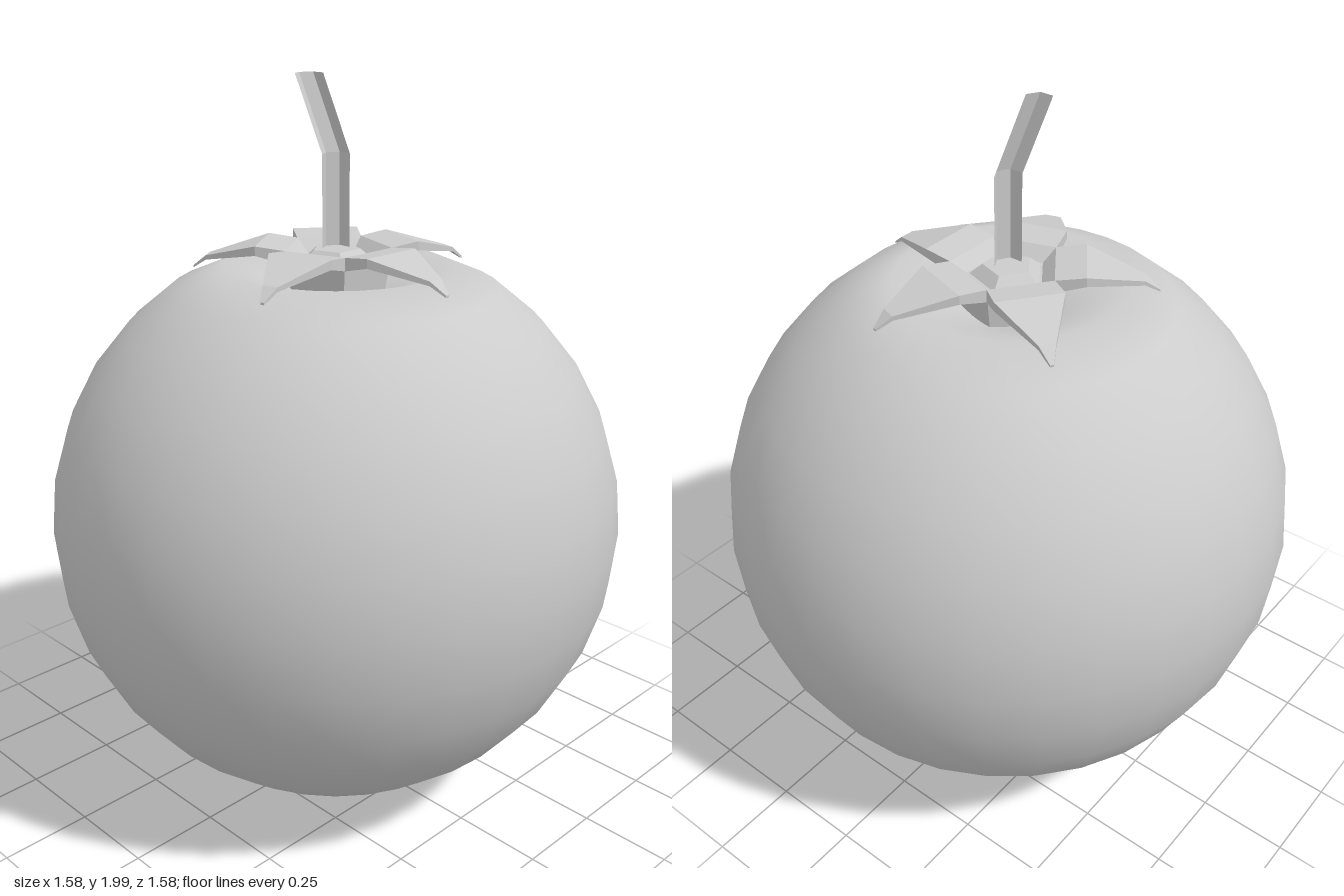
import * as THREE from 'three';

const smooth = new THREE.MeshStandardMaterial({ color: 0xcccccc });
const faceted = new THREE.MeshStandardMaterial({ color: 0xcccccc, flatShading: true });

function add(parent, name, geometry, material) {
  const mesh = new THREE.Mesh(geometry, material);
  mesh.name = name;
  parent.add(mesh);
  return mesh;
}

// Skins a row of equally sized point loops into a closed, flat-faced solid.
function loft(loops) {
  const n = loops[0].length;
  const last = (loops.length - 1) * n;
  const index = [];
  for (let i = 0; i < loops.length - 1; i++) {
    for (let j = 0; j < n; j++) {
      const a = i * n + j, b = i * n + (j + 1) % n;
      index.push(a, a + n, b + n, a, b + n, b);
    }
  }
  for (let j = 1; j < n - 1; j++) {
    index.push(0, j, j + 1, last, last + j + 1, last + j);
  }
  const geometry = new THREE.BufferGeometry();
  geometry.setAttribute('position', new THREE.Float32BufferAttribute(loops.flat(2), 3));
  geometry.setIndex(index);
  const flat = geometry.toNonIndexed();
  flat.computeVertexNormals();
  return flat;
}

// Round fruit with a dimple where the stem attaches
function bodyGeometry() {
  const radius = 0.79, centre = 0.797, rings = 16;
  const points = [];
  for (let i = 0; i <= rings - 2; i++) {
    const a = (i / rings) * Math.PI;
    points.push(new THREE.Vector2(radius * Math.sin(a), centre - radius * Math.cos(a)));
  }
  points[rings - 2].y = 1.512;
  points.push(new THREE.Vector2(0.15, 1.45), new THREE.Vector2(0, 1.4));
  return new THREE.LatheGeometry(points, 32);
}

// Sepal pointing along +z; each row is distance, half width, height, thickness
function sepalGeometry() {
  const rows = [
    [0.085, 0.062, 1.525, 0.02],
    [0.12, 0.088, 1.56, 0.035],
    [0.20, 0.09, 1.57, 0.025],
    [0.35, 0.022, 1.527, 0.012],
    [0.39, 0.005, 1.495, 0.006],
  ];
  return loft(rows.map(([z, w, y, t]) => [
    [-w, y, z], [w, y, z], [w, y - t, z], [-w, y - t, z],
  ]));
}

// Five-sided frustum with a flat side towards +z
function pentagon(top, bottom, y0, y1) {
  return new THREE.CylinderGeometry(top, bottom, y1 - y0, 5, 1, false, Math.PI)
    .translate(0, (y0 + y1) / 2, 0);
}

// Six-sided stem, upright and then bent to the back right
function stemGeometry() {
  const path = [[0, 1.5, 0], [0, 1.8, 0], [-0.035, 2, -0.062]];
  return loft(path.map(([x, y, z]) => Array.from({ length: 6 }, (_, i) => {
    const a = -(i / 6) * Math.PI * 2;
    return [x + 0.037 * Math.sin(a), y, z + 0.037 * Math.cos(a)];
  }).reverse()));
}

export function createModel() {
  const model = new THREE.Group();
  model.name = 'tomato';
  add(model, 'body', bodyGeometry(), smooth);

  // Star of sepals around a small hub
  const calyx = new THREE.Group();
  calyx.name = 'calyx';
  model.add(calyx);
  add(calyx, 'hub', pentagon(0.145, 0.13, 1.43, 1.527), faceted);
  add(calyx, 'collar', pentagon(0.066, 0.108, 1.52, 1.555), faceted);
  const sepal = sepalGeometry();
  for (let i = 0; i < 5; i++) {
    add(calyx, 'sepal', sepal, faceted).rotation.y = (i / 5) * Math.PI * 2;
  }

  add(model, 'stem', stemGeometry(), faceted);
  return model;
}
